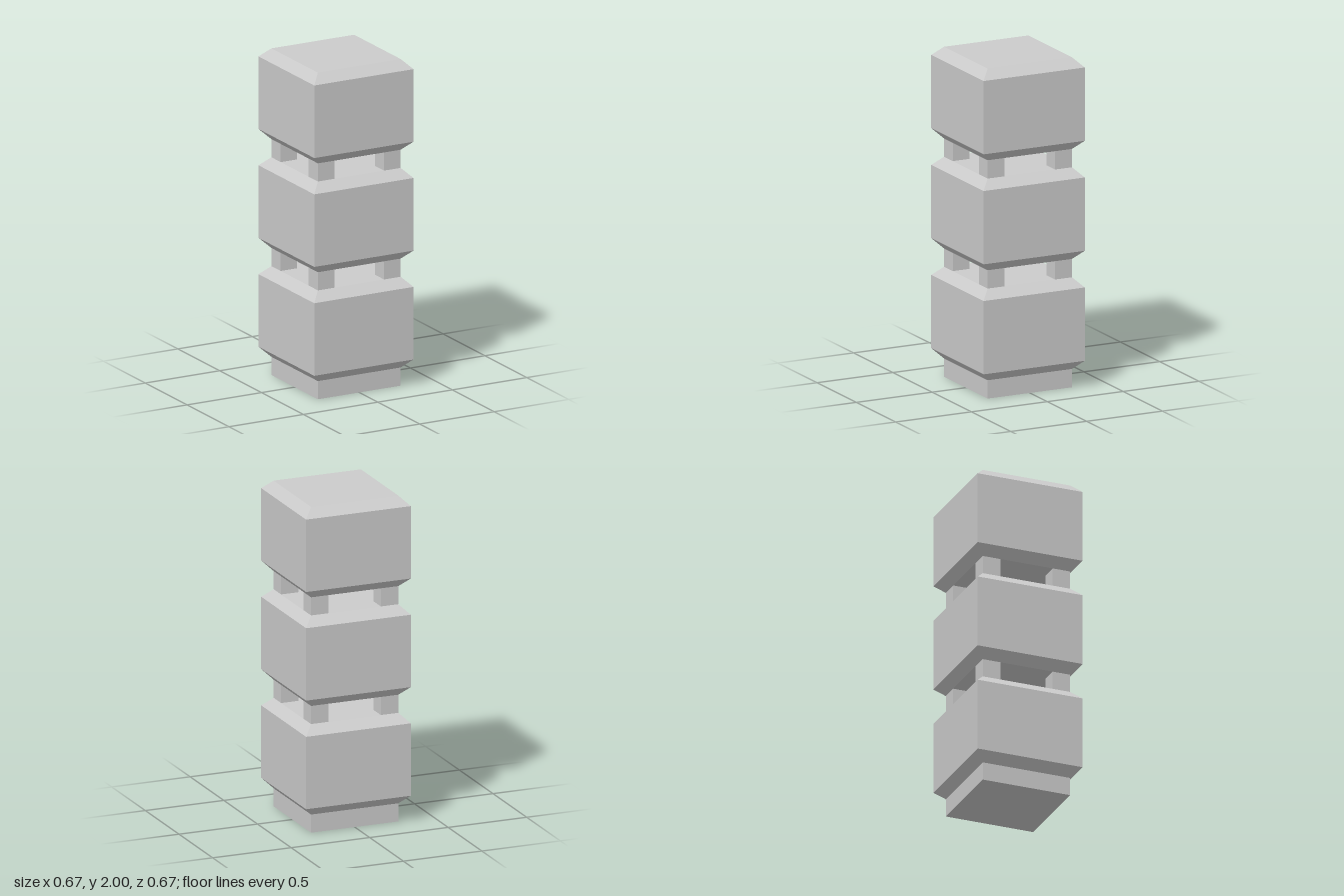
import * as THREE from 'three';

const U = 1 / 18; // module unit: the tower is 36 units tall

export function createModel() {
  const tower = new THREE.Group();
  tower.name = 'tower';
  const material = new THREE.MeshStandardMaterial({ color: 0xcccccc, flatShading: true });

  const add = (parent, geometry, name, x, y, z) => {
    const mesh = new THREE.Mesh(geometry, material);
    mesh.name = name;
    mesh.position.set(x * U, y * U, z * U);
    parent.add(mesh);
  };

  // Square base slab
  add(tower, new THREE.BoxGeometry(10 * U, 2 * U, 10 * U), 'base', 0, 1, 0);

  // Block with chamfered top and bottom rims: four-sided lathe of [half width, height]
  const profile = [[0, 0], [5, 0], [6, 1], [6, 9], [5, 10], [0, 10]]
    .map(([r, y]) => new THREE.Vector2(r * Math.SQRT2 * U, y * U));
  const blockGeometry = new THREE.LatheGeometry(profile, 4, Math.PI / 4).toNonIndexed();
  blockGeometry.computeVertexNormals();
  const postGeometry = new THREE.BoxGeometry(2 * U, 2 * U, 2 * U);

  for (let level = 0; level < 3; level++) {
    const bottom = 2 + level * 12;
    add(tower, blockGeometry, `block${level + 1}`, 0, bottom, 0);
    if (level === 2) continue;

    // Four corner posts carrying the next block
    const posts = new THREE.Group();
    posts.name = `cornerPosts${level + 1}`;
    for (const x of [-4, 4]) {
      for (const z of [-4, 4]) {
        const name = `${z > 0 ? 'front' : 'back'}${x > 0 ? 'Left' : 'Right'}Post`;
        add(posts, postGeometry, name, x, bottom + 11, z);
      }
    }
    tower.add(posts);
  }
  return tower;
}
